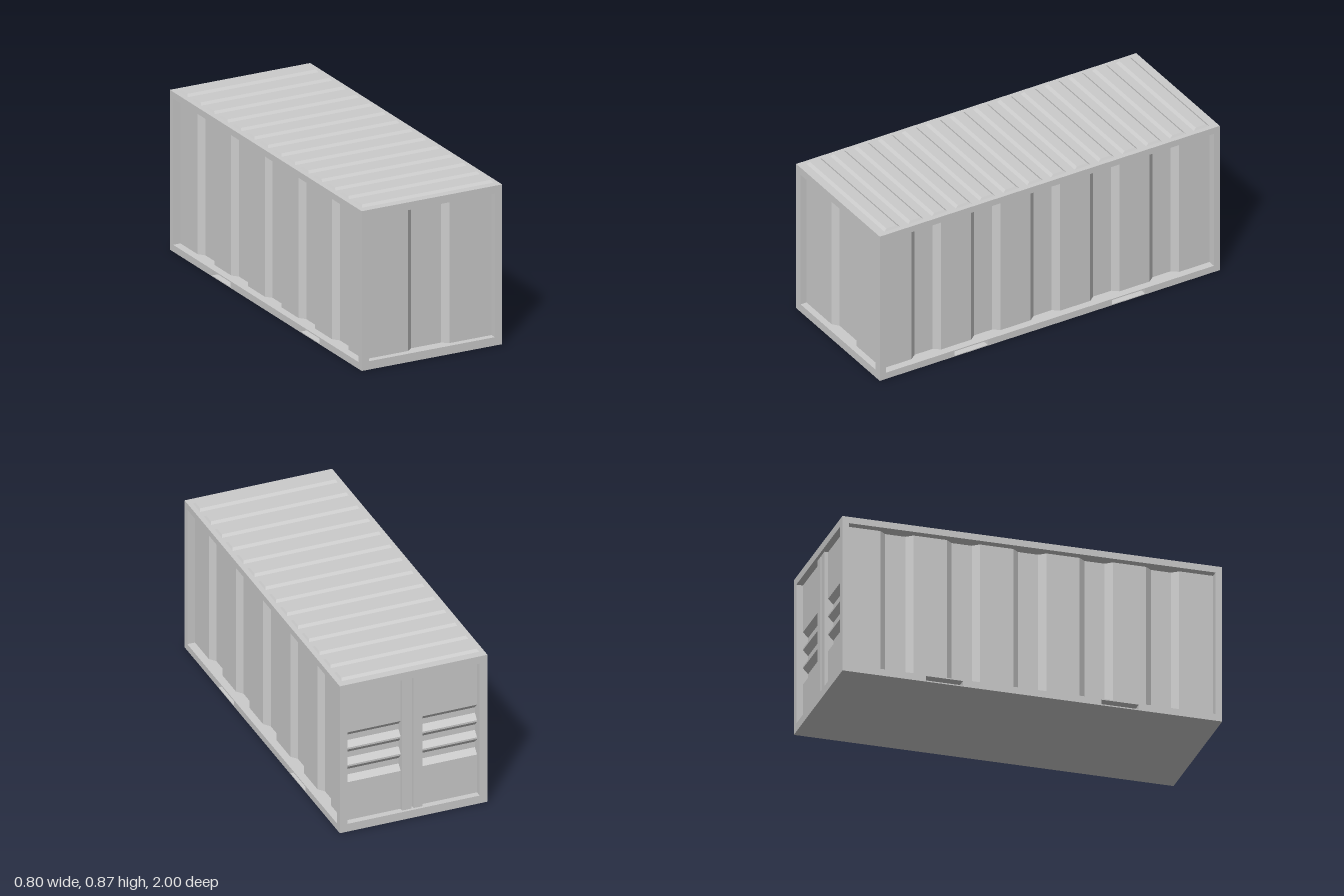
import * as THREE from 'three';

const X = 0.402, H = 0.855, Z = 1;        // half width, height, half length
const POST_X = 0.042, POST_Z = 0.035;     // corner post section
const IN_X = X - POST_X, IN_Z = Z - POST_Z;
const SIDE_Y0 = 0.037, SIDE_Y1 = 0.82;    // side opening
const END_Y0 = 0.045, END_Y1 = 0.813;     // end opening
const RIB = 0.027;                        // corrugation depth

const mat = new THREE.MeshStandardMaterial({ color: 0xcccccc });
const sheetMat = new THREE.MeshStandardMaterial({ color: 0xcccccc, side: THREE.DoubleSide });

function add(parent, name, geometry, x = 0, y = 0, z = 0, material = mat) {
  const mesh = new THREE.Mesh(geometry, material);
  mesh.name = name;
  mesh.position.set(x, y, z);
  parent.add(mesh);
  return mesh;
}

// Box given by its limits
function block(parent, name, x0, x1, y0, y1, z0, z1) {
  return add(parent, name, new THREE.BoxGeometry(x1 - x0, y1 - y0, z1 - z0),
    (x0 + x1) / 2, (y0 + y1) / 2, (z0 + z1) / 2);
}

function rect(path, x0, x1, y0, y1) {
  path.moveTo(x0, y0);
  path.lineTo(x1, y0);
  path.lineTo(x1, y1);
  path.lineTo(x0, y1);
  path.closePath();
  return path;
}

// Plate in the xy plane with rectangular holes, running from z = 0 back to -depth
function plate(outline, holes, depth) {
  const shape = rect(new THREE.Shape(), ...outline);
  holes.forEach(h => shape.holes.push(rect(new THREE.Path(), ...h)));
  const geo = new THREE.ExtrudeGeometry(shape, { depth, bevelEnabled: false });
  return geo.translate(0, 0, -depth);
}

// Folded sheet facing +z: profile points [along x, z] swept from y0 to y1
function foldedSheet(profile, y0, y1) {
  const pos = [];
  for (let i = 0; i < profile.length - 1; i++) {
    const [a, p] = profile[i], [b, q] = profile[i + 1];
    pos.push(a, y0, p, b, y0, q, b, y1, q, a, y0, p, b, y1, q, a, y1, p);
  }
  const geo = new THREE.BufferGeometry();
  geo.setAttribute('position', new THREE.Float32BufferAttribute(pos, 3));
  geo.computeVertexNormals();
  return geo;
}

// Profile with recessed flutes: each flute has a centre, outer and inner half width
function flutedProfile(from, to, centres, outer, inner) {
  const pts = [[from, 0]];
  for (const c of centres) {
    pts.push([c - outer, 0], [c - inner, -RIB], [c + inner, -RIB], [c + outer, 0]);
  }
  pts.push([to, 0]);
  return pts;
}

function createSide() {
  const side = new THREE.Group();
  side.name = 'sideWall';
  const pockets = [-0.4625, 0.4625].map(c => [c - 0.0975, c + 0.0975, 0.005, 0.031]);
  add(side, 'bottomRail', plate([-IN_Z, IN_Z, 0, SIDE_Y0], pockets, 0.05), 0, 0, X);
  const flutes = [-2, -1, 0, 1, 2].map(i => i * 0.35);
  add(side, 'corrugatedPanel', foldedSheet(flutedProfile(-IN_Z, IN_Z, flutes, 0.087, 0.053),
    SIDE_Y0, SIDE_Y1), 0, 0, IN_X, sheetMat);
  return side;
}

function createEndFrame(name) {
  const end = new THREE.Group();
  end.name = name;
  add(end, 'endFrame', plate([-X, X, 0, H], [[-IN_X, IN_X, END_Y0, END_Y1]], POST_Z), 0, 0, Z);
  block(end, 'sill', -0.32, 0.32, 0.01, END_Y0, 0.92, IN_Z);
  block(end, 'header', -0.32, 0.32, END_Y1, H - 0.01, 0.92, IN_Z);
  return end;
}

export function createModel() {
  const model = new THREE.Group();
  model.name = 'cargoContainer';

  // Floor and roof slabs
  block(model, 'floor', -X + 0.05, X - 0.05, 0, SIDE_Y0, -IN_Z, IN_Z);
  block(model, 'roof', -X, X, SIDE_Y1, H, -IN_Z, IN_Z);

  // Tapered roof ribs
  const ribGeo = new THREE.BoxGeometry(0.75, 0.011, 0.092);
  const p = ribGeo.attributes.position;
  for (let i = 0; i < p.count; i++) {
    if (p.getY(i) > 0) p.setXYZ(i, p.getX(i) * 0.982, p.getY(i), p.getZ(i) * 0.66);
  }
  ribGeo.computeVertexNormals();
  for (let i = 0; i < 14; i++) add(model, 'roofRib', ribGeo, 0, H + 0.0055, (i - 6.5) * 0.14);

  // Corrugated long walls
  for (const s of [1, -1]) {
    const side = createSide();
    side.rotation.y = s * Math.PI / 2;
    model.add(side);
  }

  // Front end with one wide flute
  const front = createEndFrame('frontEnd');
  add(front, 'frontPanel', foldedSheet(flutedProfile(-IN_X, IN_X, [0], 0.119, 0.086),
    END_Y0, END_Y1), 0, 0, IN_Z, sheetMat);
  model.add(front);

  // Rear end: two doors with horizontal grooves and meeting stiles
  const back = createEndFrame('backEnd');
  const grooves = flutedProfile(END_Y0, END_Y1, [0.31, 0.41, 0.51], 0.045, 0.016);
  for (const s of [-1, 1]) {
    const limits = s < 0 ? [0.006, IN_X] : [-IN_X, -0.006];
    const door = add(back, 'doorPanel', foldedSheet(grooves, ...limits), 0, 0, IN_Z, sheetMat);
    door.rotation.z = Math.PI / 2;
    door.scale.y = 1;
    const x0 = s < 0 ? -0.056 : 0.006;
    block(back, 'doorStile', x0, x0 + 0.05, END_Y0, END_Y1, 0.93, Z - 0.015);
  }
  block(back, 'doorGap', -0.006, 0.006, END_Y0, END_Y1, 0.93, IN_Z);
  back.rotation.y = Math.PI;
  model.add(back);

  return model;
}
